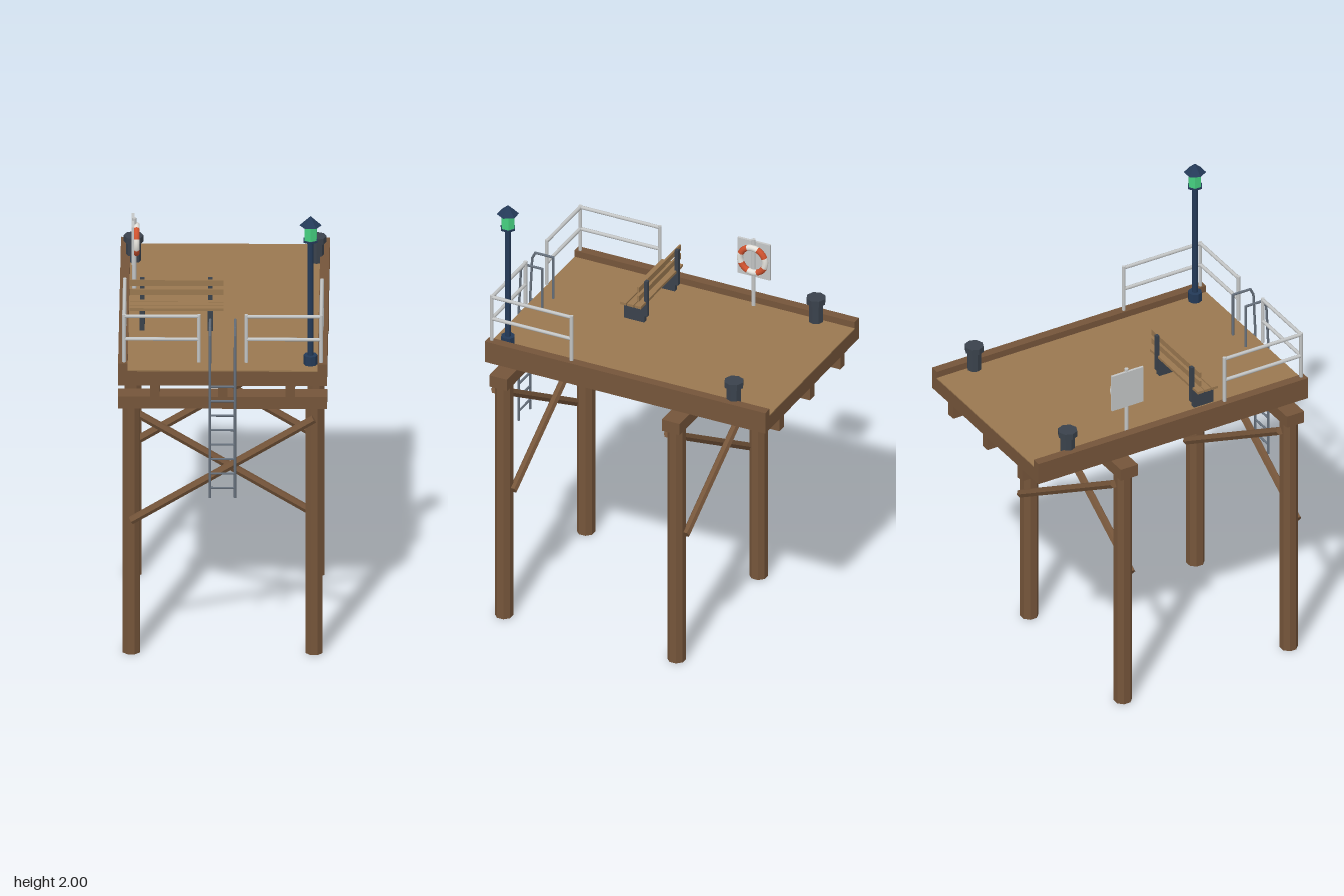
import * as THREE from 'three';

const mat = (name, color, extra = {}) => {
  const m = new THREE.MeshStandardMaterial({ color, ...extra });
  m.name = name;
  return m;
};

export function createModel() {
  const root = new THREE.Group();
  root.name = 'pier';
  const flat = { flatShading: true };
  const deckWood = mat('deck wood', 0x9a7850);
  const timber = mat('dark timber', 0x75553a, flat);
  const railMetal = mat('rail metal', 0xc4c6c6);
  const ladderMetal = mat('ladder metal', 0x66707c);
  const iron = mat('dark iron', 0x3a424c, flat);
  const navy = mat('lamp navy', 0x243a58, flat);
  const green = mat('lamp green', 0x45d080, flat);
  const white = mat('ring white', 0xe4e2dc);
  const red = mat('ring red', 0xd0532f);

  const add = (parent, name, geo, material, x = 0, y = 0, z = 0) => {
    const m = new THREE.Mesh(geo, material);
    m.name = name;
    m.position.set(x, y, z);
    parent.add(m);
    return m;
  };
  const group = (name) => {
    const g = new THREE.Group();
    g.name = name;
    root.add(g);
    return g;
  };
  // box from min/max corners
  const box = (parent, name, material, x0, x1, y0, y1, z0, z1) =>
    add(parent, name, new THREE.BoxGeometry(x1 - x0, y1 - y0, z1 - z0), material,
      (x0 + x1) / 2, (y0 + y1) / 2, (z0 + z1) / 2);
  // upright cylinder standing from y0 to y1
  const post = (parent, name, material, r, x, y0, y1, z, sides = 8, rTop = r) =>
    add(parent, name, new THREE.CylinderGeometry(rTop, r, y1 - y0, sides), material, x, (y0 + y1) / 2, z);
  // round bar between two points
  const bar = (parent, name, material, r, a, b, sides = 8) => {
    const p = new THREE.Vector3(...a), q = new THREE.Vector3(...b);
    const d = q.clone().sub(p);
    const m = add(parent, name, new THREE.CylinderGeometry(r, r, d.length(), sides), material);
    m.position.copy(p).add(q).multiplyScalar(0.5);
    m.quaternion.setFromUnitVectors(new THREE.Vector3(0, 1, 0), d.normalize());
    return m;
  };

  // Deck, curbs and stringers
  const deck = group('deck');
  box(deck, 'deckFrame', timber, -0.4, 0.4, 1.25, 1.315, -0.68, 0.64);
  box(deck, 'deckSurface', deckWood, -0.4, 0.4, 1.315, 1.32, -0.68, 0.64);
  for (const s of [-1, 1])
    add(deck, 'curb', new THREE.BoxGeometry(0.04, 0.1, 1.32), timber, s * 0.42, 1.3, -0.02);
  for (const x of [-0.285, 0, 0.285])
    box(deck, 'stringer', timber, x - 0.02, x + 0.02, 1.19, 1.25, -0.68, 0.64);

  // Two pile bents with cap beam and crossed braces
  for (const z of [0.578, -0.235]) {
    const bent = group('pileBent');
    box(bent, 'capBeam', timber, -0.44, 0.44, 1.135, 1.19, z - 0.042, z + 0.042);
    for (const s of [-1, 1]) {
      const pile = post(bent, 'pile', timber, 0.039, s * 0.385, 0, 1.14, z);
      pile.rotation.y = Math.PI / 8;
      bar(bent, 'brace', timber, 0.018,
        [-s * 0.385, 0.62, z + s * 0.043], [s * 0.385, 1.09, z + s * 0.043], 6);
    }
  }

  // Corner railings, mirrored
  for (const s of [-1, 1]) {
    const rail = group('railing');
    const corners = [[s * 0.1, 0.62], [s * 0.415, 0.62], [s * 0.415, 0.245]];
    for (const [x, z] of corners) post(rail, 'railPost', railMetal, 0.008, x, 1.35, 1.568, z);
    for (const y of [1.455, 1.56])
      for (let i = 0; i < 2; i++) {
        const [a, b] = [corners[i], corners[i + 1]];
        bar(rail, 'railBar', railMetal, 0.008, [a[0], y, a[1]], [b[0], y, b[1]]);
      }
  }

  // Ladder with hooped handholds
  const ladder = group('ladder');
  for (const s of [-1, 1]) {
    const x = s * 0.053;
    const path = [[0.75, 0.675], [1.29, 0.675], [1.49, 0.665], [1.52, 0.65], [1.52, 0.565], [1.32, 0.565]];
    for (let i = 0; i < path.length - 1; i++) {
      const [a, b] = [path[i], path[i + 1]];
      bar(ladder, 'ladderStile', ladderMetal, 0.0055, [x, ...a], [x, ...b]);
      if (i) add(ladder, 'stileJoint', new THREE.SphereGeometry(0.0055, 8, 6), ladderMetal, x, ...a);
    }
    bar(ladder, 'ladderBracket', ladderMetal, 0.0055, [x, 1.287, 0.675], [x, 1.287, 0.63]);
  }
  for (let i = 0; i < 8; i++) {
    const y = 0.795 + i * 0.0665;
    bar(ladder, 'rung', ladderMetal, 0.005, [-0.053, y, 0.675], [0.053, y, 0.675]);
  }

  // Lamp post
  const lamp = group('lampPost');
  const [lx, lz] = [0.37, 0.567];
  post(lamp, 'lampBase', navy, 0.03, lx, 1.32, 1.362, lz);
  post(lamp, 'lampPole', navy, 0.013, lx, 1.36, 1.89, lz);
  post(lamp, 'lanternPlate', navy, 0.034, lx, 1.884, 1.893, lz, 6);
  post(lamp, 'lantern', green, 0.03, lx, 1.893, 1.96, lz, 6);
  add(lamp, 'lanternRoof', new THREE.ConeGeometry(0.047, 0.042, 6), navy, lx, 1.979, lz).rotation.y = Math.PI / 6;

  // Mooring bollards
  for (const s of [-1, 1]) {
    const bollard = group('bollard');
    post(bollard, 'bollardBody', iron, 0.032, s * 0.385, 1.32, 1.41, -0.505);
    post(bollard, 'bollardCap', iron, 0.042, s * 0.385, 1.408, 1.435, -0.505);
  }

  // Bench
  const bench = group('bench');
  for (const x of [-0.343, -0.056]) {
    box(bench, 'benchLeg', iron, x - 0.011, x + 0.011, 1.32, 1.41, 0.133, 0.228);
    box(bench, 'benchBackPost', iron, x - 0.009, x + 0.009, 1.35, 1.52, 0.12, 0.135);
  }
  for (const z of [0.142, 0.176, 0.211])
    box(bench, 'seatSlat', deckWood, -0.395, 0, 1.41, 1.422, z - 0.015, z + 0.015);
  for (const y of [1.46, 1.502])
    box(bench, 'backSlat', deckWood, -0.395, 0, y - 0.013, y + 0.013, 0.135, 0.144);

  // Life ring on its board
  const station = group('lifeRingStation');
  post(station, 'ringPost', railMetal, 0.009, -0.38, 1.32, 1.643, -0.214);
  box(station, 'ringBoard', railMetal, -0.391, -0.38, 1.46, 1.632, -0.291, -0.137);
  const ring = new THREE.Group();
  ring.name = 'lifeRing';
  ring.position.set(-0.37, 1.546, -0.214);
  ring.rotation.y = Math.PI / 2;
  station.add(ring);
  for (let i = 0; i < 8; i++) {
    const arc = new THREE.TorusGeometry(0.059, 0.0135, 10, 6, Math.PI / 4);
    add(ring, i % 2 ? 'ringWhite' : 'ringRed', arc, i % 2 ? white : red).rotation.z = Math.PI / 8 + i * Math.PI / 4;
  }
  return root;
}
